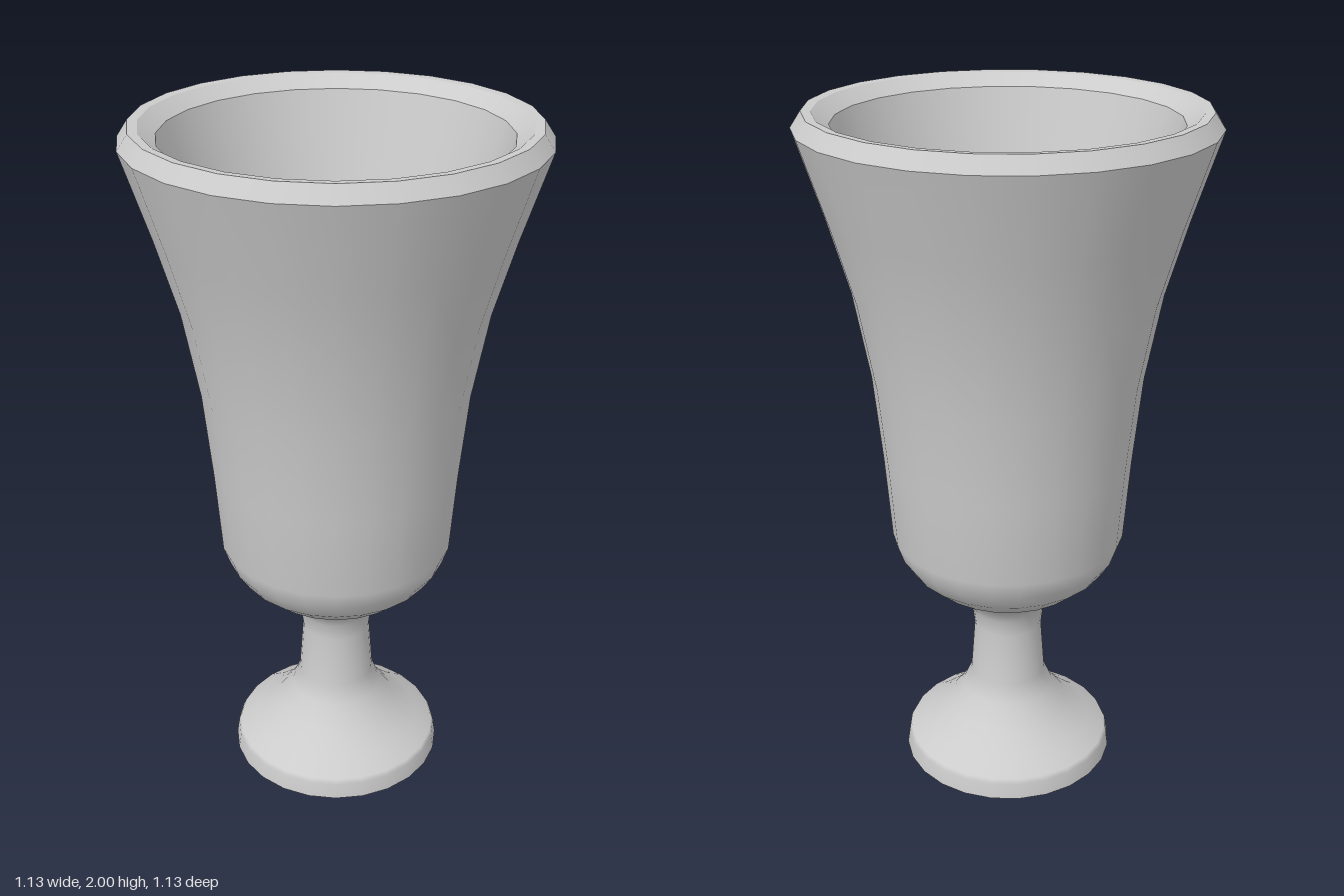
import * as THREE from 'three';

const material = new THREE.MeshStandardMaterial({ color: 0xcccccc });
const SIDES = 24;

// Each profile lists [radius, height] along the surface; normals are smooth
// within a profile and sharp where two profiles meet.
function turned(name, profile) {
  const points = profile.map(([r, y]) => new THREE.Vector2(r, y));
  const mesh = new THREE.Mesh(new THREE.LatheGeometry(points, SIDES), material);
  mesh.name = name;
  return mesh;
}

export function createModel() {
  const goblet = new THREE.Group();
  goblet.name = 'goblet';

  // Flat underside of the foot
  goblet.add(turned('footUnderside', [[0, 0], [0.32, 0]]));

  // Foot, stem and bowl in one smooth sweep up to the lip
  goblet.add(turned('footStemAndBowl', [
    [0.32, 0], [0.313, 0.047], [0.306, 0.061], [0.255, 0.093], [0.185, 0.152],
    [0.138, 0.215], [0.114, 0.27], [0.102, 0.435], [0.109, 0.49], [0.13, 0.53],
    [0.165, 0.56], [0.23, 0.598], [0.29, 0.65], [0.323, 0.7], [0.342, 0.755],
    [0.36, 1.0], [0.385, 1.257], [0.43, 1.505], [0.49, 1.715], [0.567, 1.957],
  ]));

  // Lip: outer bevel, flat top and inner bevel
  goblet.add(turned('lipOuterBevel', [[0.567, 1.957], [0.538, 2]]));
  goblet.add(turned('lipTop', [[0.538, 2], [0.512, 1.998]]));
  goblet.add(turned('lipInnerBevel', [[0.512, 1.998], [0.467, 1.964]]));

  // Hollow inside and its flat floor
  goblet.add(turned('innerWall', [
    [0.467, 1.964], [0.393, 1.715], [0.331, 1.505], [0.282, 1.0],
  ]));
  goblet.add(turned('innerFloor', [[0.282, 1.0], [0, 1.0]]));

  return goblet;
}
